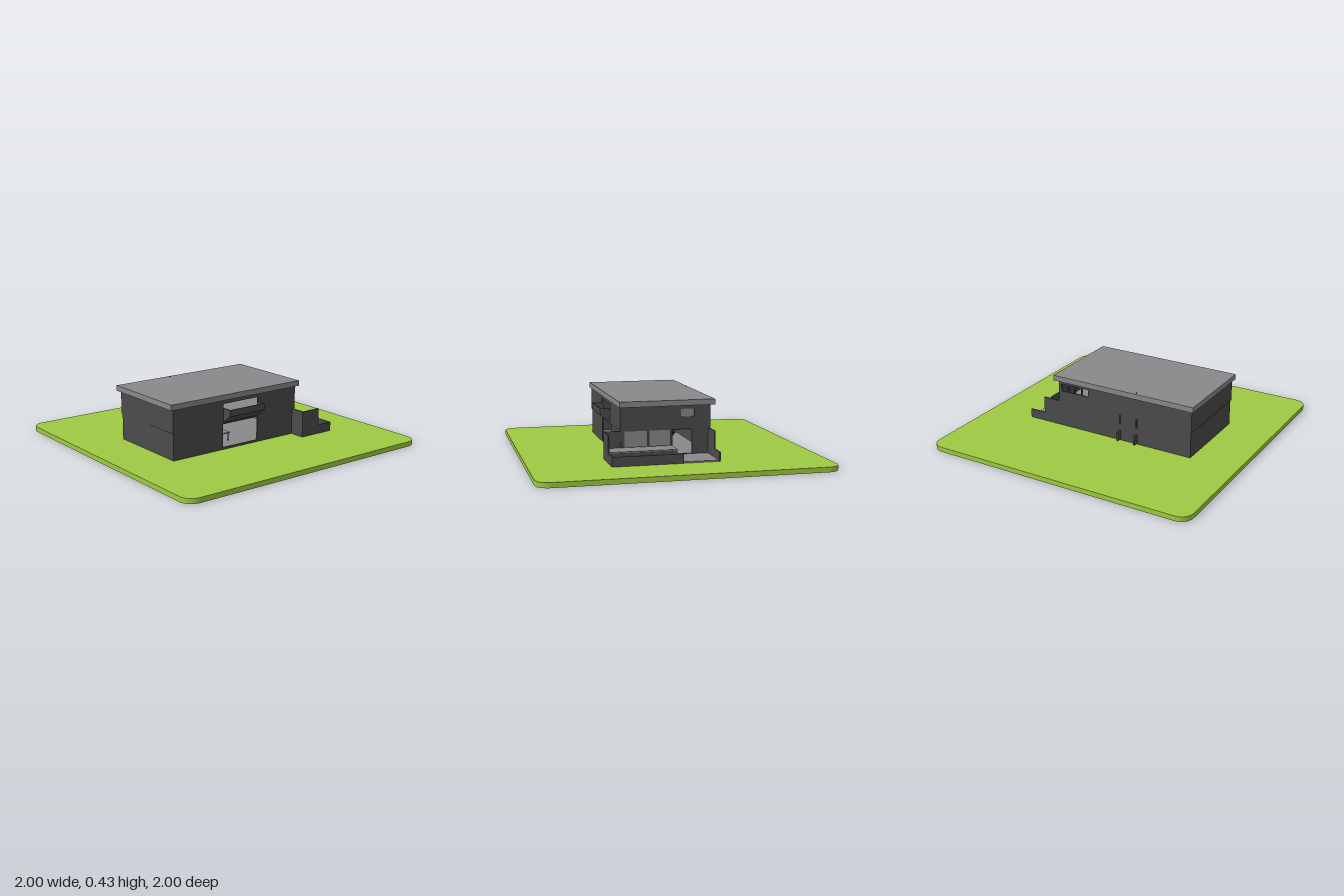
import * as THREE from 'three';

const mat = (name, color) => {
  const m = new THREE.MeshStandardMaterial({ color });
  m.name = name;
  return m;
};

export function createModel() {
  const grass = mat('grass green', 0x9fca42);
  const light = mat('light grey', 0x8b888b);
  const dark = mat('dark grey', 0x4b4b4b);
  const house = new THREE.Group();
  house.name = 'house';

  const add = (name, geometry, material) => {
    const mesh = new THREE.Mesh(geometry, material);
    mesh.name = name;
    house.add(mesh);
    return mesh;
  };
  // Box given by its lowest and highest corners
  const box = (name, material, x0, x1, y0, y1, z0, z1) => {
    const g = new THREE.BoxGeometry(x1 - x0, y1 - y0, z1 - z0);
    g.translate((x0 + x1) / 2, (y0 + y1) / 2, (z0 + z1) / 2);
    return add(name, g, material);
  };
  const polygon = (pts) => new THREE.Shape(pts.map(([x, y]) => new THREE.Vector2(x, y)));
  const rect = (a, b, c, d) => [[a, c], [b, c], [b, d], [a, d]];
  const extrude = (pts, holes, depth) => {
    const s = polygon(pts);
    holes.forEach((h) => s.holes.push(polygon(rect(...h).reverse())));
    return new THREE.ExtrudeGeometry(s, { depth, bevelEnabled: false });
  };
  const T = 0.012;
  // Wall along x; z is its rear face
  const wallX = (name, pts, holes, z, depth = T) => {
    const m = add(name, extrude(pts, holes, depth), dark);
    m.position.z = z;
  };
  // Wall along z (profile in z, y); x is its +x face
  const wallZ = (name, pts, holes, x, depth = T) => {
    const m = add(name, extrude(pts, holes, depth), dark);
    m.rotation.y = -Math.PI / 2;
    m.position.x = x;
  };

  // Lawn with rounded corners
  const r = 0.09, lawn = new THREE.Shape();
  [[1 - r, 1 - r], [r - 1, 1 - r], [r - 1, r - 1], [1 - r, r - 1]].forEach(([x, y], i) =>
    lawn.absarc(x, y, r, i * Math.PI / 2, (i + 1) * Math.PI / 2));
  const lawnGeo = new THREE.ExtrudeGeometry(lawn, { depth: 0.035, bevelEnabled: false, curveSegments: 8 });
  add('lawn', lawnGeo.rotateX(-Math.PI / 2), grass);

  // Ground storey walls
  wallX('lowerFrontWall', rect(-0.65, 0.4, 0.035, 0.222), [[-0.24, 0.065, 0.05, 0.218]], 0.35 - T);
  wallX('lowerBackWall', rect(-0.65, 0.4, 0.035, 0.222), [], -0.275);
  wallZ('lowerLeftEndWall', rect(-0.275, 0.35, 0.035, 0.222), [], -0.65 + T);
  wallZ('lowerTerraceWall', rect(-0.275, 0.35, 0.035, 0.222),
    [[-0.15, -0.012, 0.05, 0.218], [0, 0.325, 0.11, 0.218]], 0.4);

  // Upper storey walls, slightly proud of the ground storey
  const panes = [0, 1, 2, 3].map((i) => [0.16 + i * 0.057, 0.21 + i * 0.057, 0.305, 0.36]);
  wallX('upperFrontWall', rect(-0.655, 0.405, 0.222, 0.386), [[-0.24, 0.065, 0.23, 0.36]], 0.355 - T);
  wallX('upperBackWall', rect(-0.655, 0.405, 0.222, 0.386), panes, -0.28);
  wallZ('upperLeftEndWall', rect(-0.28, 0.355, 0.222, 0.386), [], -0.655 + T);
  wallZ('upperTerraceWall', rect(-0.28, 0.355, 0.222, 0.386), [[-0.165, -0.07, 0.305, 0.36]], 0.405);

  // Floors and roof
  box('groundFloor', light, -0.64, 0.395, 0.035, 0.05, -0.265, 0.34);
  box('upperFloor', light, -0.64, 0.39, 0.212, 0.222, -0.265, 0.34);
  box('roof', light, -0.675, 0.433, 0.386, 0.425, -0.305, 0.365);

  // Glazed panels and upper side window
  box('slidingPanel', light, 0.39, 0.396, 0.11, 0.22, 0.162, 0.326);
  box('slidingPanel', light, 0.39, 0.396, 0.11, 0.22, -0.002, 0.15);
  box('panelPost', dark, 0.388, 0.402, 0.11, 0.22, 0.15, 0.162);
  box('sideWindowPane', light, 0.394, 0.398, 0.3, 0.365, -0.17, -0.065);

  // Balcony: open trough with sloped underside and solid cheeks
  const trough = [[0.355, 0.23], [0.428, 0.285], [0.428, 0.33], [0.42, 0.33], [0.42, 0.29], [0.355, 0.24]];
  const cheek = [[0.355, 0.23], [0.428, 0.285], [0.428, 0.33], [0.355, 0.33]];
  wallZ('balconyFront', trough, [], 0.065, 0.305);
  [0.065, -0.232].forEach((x) => wallZ('balconyCheek', cheek, [], x, 0.008));

  // Terrace paving, raised deck and surrounding stepped walls
  box('terracePaving', light, 0.395, 0.655, 0.035, 0.045, -0.265, 0.46);
  box('deckBase', dark, 0.4, 0.542, 0.045, 0.1, -0.01, 0.458);
  box('deckTop', light, 0.4, 0.54, 0.1, 0.108, -0.01, 0.458);
  const stepped = [[0.385, 0.035], [0.66, 0.035], [0.66, 0.1], [0.54, 0.1], [0.54, 0.222], [0.385, 0.222]];
  wallX('terraceFrontWall', stepped, [], 0.457, 0.008);
  wallX('terraceBackWall', stepped.map(([x, y]) => [Math.max(x, 0.4), y]), [], -0.275, 0.008);
  wallZ('terraceReturnWall', rect(0.35, 0.458, 0.035, 0.222), [], 0.395, 0.01);
  wallZ('terraceLowWall', rect(-0.02, 0.465, 0.035, 0.1), [], 0.66, 0.008);

  // Inside stair
  for (let i = 0; i < 9; i++) {
    const x = -0.11 + i * 0.025, y = 0.085 + i * 0.015;
    box('stairTread', dark, x, x + 0.027, y, y + 0.005, -0.15, -0.125);
  }
  // Table, seat and shelf inside the front opening
  box('tableTop', light, -0.22, -0.1, 0.105, 0.112, 0.15, 0.25);
  [-0.21, -0.115].forEach((x) => [0.155, 0.24].forEach((z) =>
    box('tableLeg', dark, x, x + 0.006, 0.05, 0.105, z, z + 0.006)));
  box('seat', dark, -0.2, -0.04, 0.05, 0.08, 0, 0.07);
  box('seatBack', dark, -0.2, -0.04, 0.08, 0.12, 0, 0.015);
  box('shelf', dark, -0.235, -0.12, 0.13, 0.137, 0.02, 0.1);

  // Service fittings on the back wall
  [-0.235, -0.1].forEach((x) => {
    box('backBox', dark, x - 0.006, x + 0.006, 0.045, 0.11, -0.316, -0.275);
    box('backPipe', dark, x - 0.004, x + 0.004, 0.16, 0.23, -0.286, -0.275);
  });
  box('roofPin', dark, -0.237, -0.233, 0.42, 0.43, -0.287, -0.283);

  return house;
}
